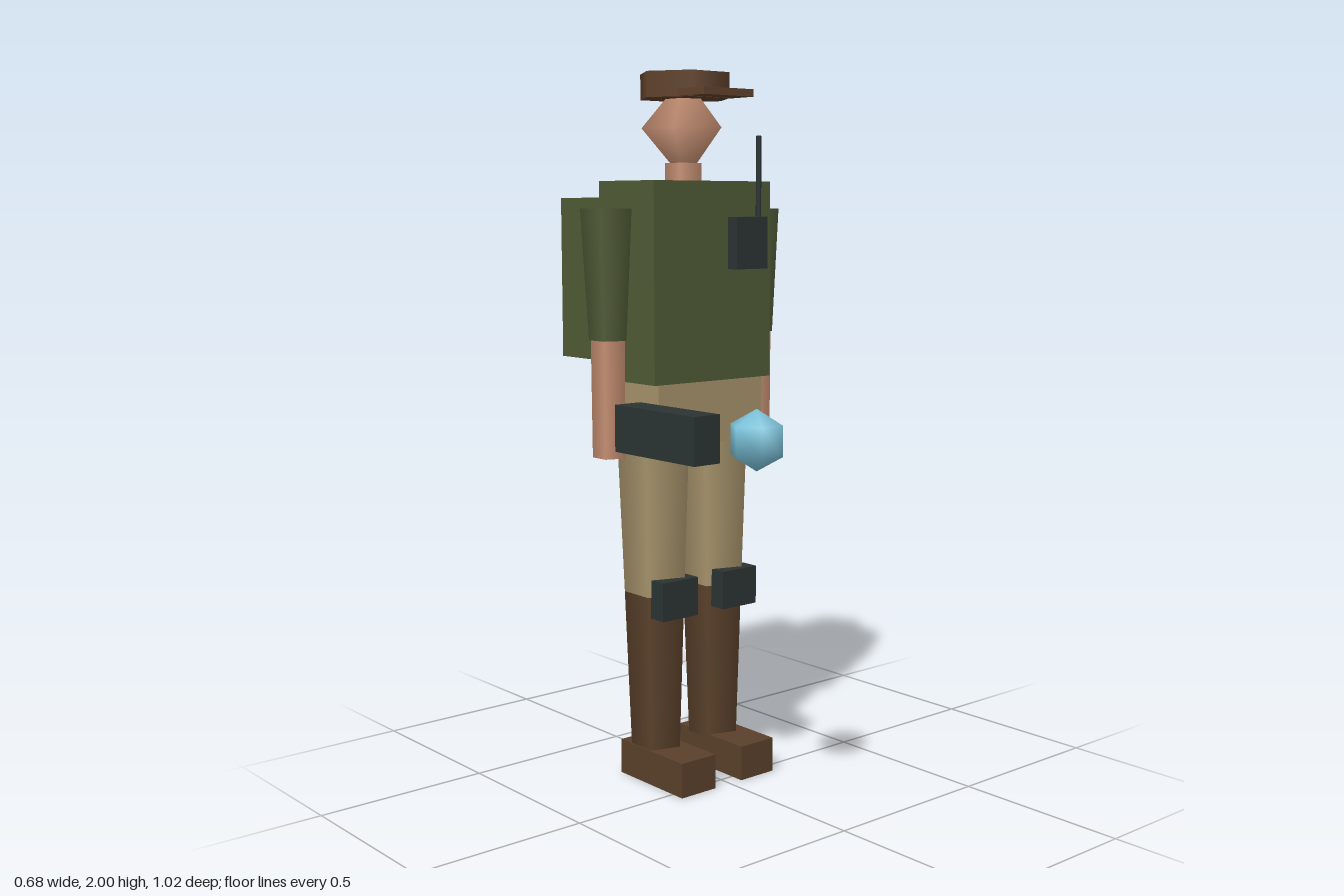
import * as THREE from 'three';

const paint = (name, color) => {
  const m = new THREE.MeshStandardMaterial({ color });
  m.name = name;
  return m;
};

export function createModel() {
  const green = paint('olive cloth', 0x4f5a35);
  const tan = paint('khaki cloth', 0xa5926a);
  const skin = paint('skin', 0xc48d70);
  const capBrown = paint('cap brown', 0x61422b);
  const bootBrown = paint('boot leather', 0x5a402a);
  const dark = paint('dark gear', 0x2b3333);
  const blue = paint('pale blue', 0x7cc4dc);

  const model = new THREE.Group();
  model.name = 'fieldExplorer';
  const CX = -0.007, CZ = -0.147; // body axis

  const add = (name, geometry, material, x, y, z) => {
    const mesh = new THREE.Mesh(geometry, material);
    mesh.name = name;
    mesh.position.set(x, y, z);
    model.add(mesh);
    return mesh;
  };
  // Box given by its limits on each axis
  const box = (name, material, [x0, x1], [y0, y1], [z0, z1]) =>
    add(name, new THREE.BoxGeometry(x1 - x0, y1 - y0, z1 - z0), material,
      (x0 + x1) / 2, (y0 + y1) / 2, (z0 + z1) / 2);
  // Upright tapered prism with one corner pointing to +x
  const prism = (name, material, rTop, rBottom, y0, y1, x, z = CZ, sides = 5) =>
    add(name, new THREE.CylinderGeometry(rTop, rBottom, y1 - y0, sides, 1, false, Math.PI / 2),
      material, x, (y0 + y1) / 2, z);

  // Trunk
  box('torso', green, [-0.215, 0.204], [1.155, 1.705], [-0.268, -0.024]);
  box('hips', tan, [-0.194, 0.182], [0.98, 1.155], [-0.256, -0.034]);
  box('backpack', green, [-0.173, 0.159], [1.2, 1.66], [-0.511, -0.311]);

  // Head and cap
  prism('neck', skin, 0.055, 0.055, 1.69, 1.755, CX);
  const head = add('head', new THREE.SphereGeometry(0.12, 5, 2, Math.PI), skin, CX, 1.85, CZ);
  head.scale.y = 1.2;
  prism('cap', capBrown, 0.132, 0.132, 1.93, 2, CX, CZ, 6);
  box('capBrim', capBrown, [-0.095, 0.081], [1.931, 1.951], [-0.075, 0.041]);

  // Arms and legs, right then left
  for (const [side, s] of [['right', -1], ['left', 1]]) {
    const armX = CX + s * 0.267, legX = CX + s * 0.107, footX = CX + s * 0.11;
    prism(side + 'Sleeve', green, 0.076, 0.056, 1.275, 1.63, armX);
    prism(side + 'Forearm', skin, 0.051, 0.049, 0.952, 1.275, armX);
    prism(side + 'Thigh', tan, 0.112, 0.092, 0.55, 1.055, legX);
    prism(side + 'BootShaft', bootBrown, 0.092, 0.075, 0.09, 0.55, legX);
    box(side + 'Foot', bootBrown, [footX - 0.061, footX + 0.061], [0, 0.1], [-0.238, 0.041]);
    box(side + 'KneePad', dark, [footX - 0.063, footX + 0.063], [0.49, 0.6], [-0.093, -0.037]);
  }

  // Chest radio
  box('radio', dark, [0.046, 0.16], [1.463, 1.607], [-0.03, 0.014]);
  prism('radioAntenna', dark, 0.008, 0.008, 1.6, 1.83, 0.148, -0.011, 6);

  // Hand-held device with the orb ahead of it
  box('handDevice', dark, [-0.316, -0.23], [0.98, 1.108], [-0.07, 0.263]);
  add('orb', new THREE.SphereGeometry(0.078, 6, 3), blue, -0.273, 1.066, 0.452);

  return model;
}
